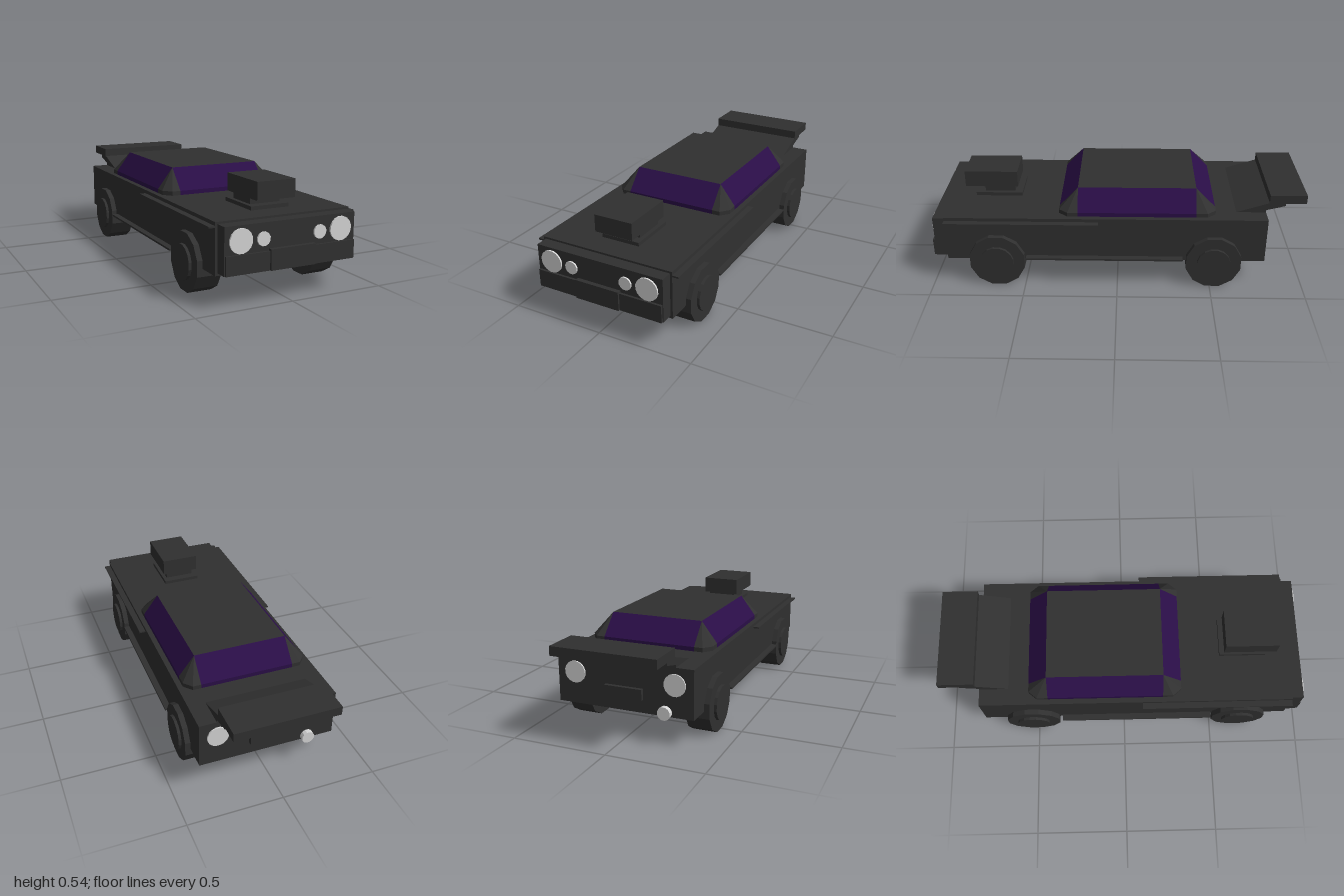
import * as THREE from 'three';

const paint = new THREE.MeshStandardMaterial({ color: 0x303030 });
paint.name = 'blackPaint';
const glass = new THREE.MeshStandardMaterial({ color: 0x2a0e47 });
glass.name = 'purpleGlass';
const lamp = new THREE.MeshStandardMaterial({ color: 0xd6d6d6 });
lamp.name = 'lampWhite';

export function createModel() {
  const car = new THREE.Group();
  car.name = 'car';

  const add = (name, geometry, material, x = 0, y = 0, z = 0) => {
    const mesh = new THREE.Mesh(geometry, material);
    mesh.name = name;
    mesh.position.set(x, y, z);
    car.add(mesh);
    return mesh;
  };
  // box from its limits on each axis
  const box = (name, x0, x1, y0, y1, z0, z1, material = paint) =>
    add(name, new THREE.BoxGeometry(x1 - x0, y1 - y0, z1 - z0), material,
      (x0 + x1) / 2, (y0 + y1) / 2, (z0 + z1) / 2);
  // flat-sided cylinders along x and z, with a flat face at the bottom
  const rodX = (r, len, n) =>
    new THREE.CylinderGeometry(r, r, len, n, 1, false, Math.PI / n).rotateZ(Math.PI / 2).toNonIndexed();
  const rodZ = (r, len, n) =>
    new THREE.CylinderGeometry(r, r, len, n, 1, false, Math.PI / n).rotateX(Math.PI / 2).toNonIndexed();
  const flat = (g) => { g.computeVertexNormals(); return g; };

  // body shell and nose
  box('body', -0.361, 0.361, 0.147, 0.396, -0.79, 0.915);
  box('nose', -0.349, 0.349, 0.16, 0.386, 0.915, 0.978);
  box('frontBumper', -0.345, 0.345, 0.162, 0.253, 0.978, 0.99);
  box('frontPlate', -0.12, 0.12, 0.163, 0.263, 0.978, 1.0);
  box('rearPlate', -0.1, 0.1, 0.215, 0.27, -0.81, -0.79);

  // side trims, wheels and lamps, mirrored
  for (const s of [-1, 1]) {
    const sideBox = (name, a, b, ...rest) => box(name, Math.min(s * a, s * b), Math.max(s * a, s * b), ...rest);
    sideBox('upperTrim', 0.36, 0.394, 0.37, 0.378, 0.1, 0.915);
    sideBox('lowerTrim', 0.36, 0.394, 0.16, 0.17, -0.35, 0.49);
    for (const [end, z] of [['front', 0.645], ['rear', -0.515]]) {
      add(end + 'Wheel', flat(rodX(0.151, 0.126, 12)), paint, s * 0.326, 0.147, z);
      add(end + 'Hubcap', flat(rodX(0.09, 0.03, 16)), paint, s * 0.389, 0.147, z);
    }
    add('headlamp', flat(rodZ(0.059, 0.009, 16)), lamp, s * 0.267, 0.315, 0.982);
    add('innerHeadlamp', flat(rodZ(0.034, 0.009, 12)), lamp, s * 0.151, 0.312, 0.982);
    add('tailLamp', flat(rodZ(0.056, 0.009, 16)), lamp, s * 0.265, 0.31, -0.793);
  }

  // cabin: rectangular roof over a base with clipped corners
  const roofX = 0.25, baseX = 0.333, y0 = 0.39, y1 = 0.418, y2 = 0.526;
  const glassTris = [], paintTris = [];
  const V = (x, y, z) => new THREE.Vector3(x, y, z);
  const centre = V(0, 0.4, -0.1);
  // adds a polygon, turned so that it faces away from the cabin centre
  const face = (list, ...p) => {
    const normal = p[1].clone().sub(p[0]).cross(p[2].clone().sub(p[0]));
    if (normal.dot(p[0].clone().sub(centre)) < 0) p.reverse();
    for (let i = 1; i < p.length - 1; i++)
      for (const v of [p[0], p[i], p[i + 1]]) list.push(v.x, v.y, v.z);
  };
  const down = (v) => V(v.x, y0, v.z);
  const ends = [{ top: 0.21, base: 0.31, d: 1 }, { top: -0.415, base: -0.52, d: -1 }];
  for (const { top, base, d } of ends) {
    // windscreen and rear window
    const l = V(-roofX, y1, base), r = V(roofX, y1, base);
    face(glassTris, V(-roofX, y2, top), V(roofX, y2, top), r, l);
    face(glassTris, l, r, down(r), down(l));
    // corner pillars
    for (const s of [-1, 1]) {
      const peak = V(s * roofX, y2, top);
      const ring = [V(s * roofX, y1, base), V(s * 0.295, y1, base),
        V(s * baseX, y1, base - d * 0.045), V(s * baseX, y1, top)];
      for (let i = 0; i < 3; i++) {
        face(paintTris, peak, ring[i], ring[i + 1]);
        face(paintTris, ring[i], ring[i + 1], down(ring[i + 1]), down(ring[i]));
      }
    }
  }
  // side windows
  for (const s of [-1, 1]) {
    const a = V(s * baseX, y1, 0.21), b = V(s * baseX, y1, -0.415);
    face(glassTris, V(s * roofX, y2, 0.21), V(s * roofX, y2, -0.415), b, a);
    face(glassTris, a, b, down(b), down(a));
  }
  face(paintTris, V(-roofX, y2, 0.21), V(roofX, y2, 0.21), V(roofX, y2, -0.415), V(-roofX, y2, -0.415));
  const soup = (list) => flat(new THREE.BufferGeometry()
    .setAttribute('position', new THREE.Float32BufferAttribute(list, 3)));
  add('windows', soup(glassTris), glass);
  add('roofAndPillars', soup(paintTris), paint);

  // underbody tray, narrowing towards the ground
  const tray = new THREE.BoxGeometry(0.524, 0.05, 0.73).toNonIndexed();
  const p = tray.attributes.position;
  for (let i = 0; i < p.count; i++) {
    if (p.getY(i) < 0) {
      p.setX(i, Math.sign(p.getX(i)) * 0.248);
      p.setZ(i, Math.sign(p.getZ(i)) * 0.315);
    }
  }
  add('underbody', flat(tray), paint, 0, 0.128, -0.105);

  // bonnet air intake
  box('intakeBase', -0.104, 0.104, 0.394, 0.415, 0.53, 0.785);
  box('intakeNeck', -0.082, 0.082, 0.41, 0.455, 0.572, 0.737);
  box('intakeScoop', -0.104, 0.104, 0.452, 0.542, 0.552, 0.84);

  // rear spoiler: sloped support extruded across the car, with a wing on top
  const outline = new THREE.Shape([[0.62, 0.392], [0.79, 0.392], [0.79, 0.41], [0.89, 0.435],
    [0.89, 0.452], [0.805, 0.452]].map(([z, y]) => new THREE.Vector2(z, y)));
  const support = new THREE.ExtrudeGeometry(outline, { depth: 0.54, bevelEnabled: false });
  support.translate(0, 0, -0.27).rotateY(Math.PI / 2);
  add('spoilerSupport', support, paint);
  box('spoilerWing', -0.272, 0.272, 0.45, 0.497, -1.0, -0.805);

  // rear axle and exhaust
  add('rearAxle', flat(rodX(0.035, 0.54, 12)), lamp, 0, 0.147, -0.515);
  add('exhaustPipe', flat(rodZ(0.03, 0.09, 12)), lamp, -0.215, 0.167, -0.765);
  add('exhaustTip', flat(rodZ(0.034, 0.03, 12)), lamp, -0.215, 0.168, -0.8);

  return car;
}
